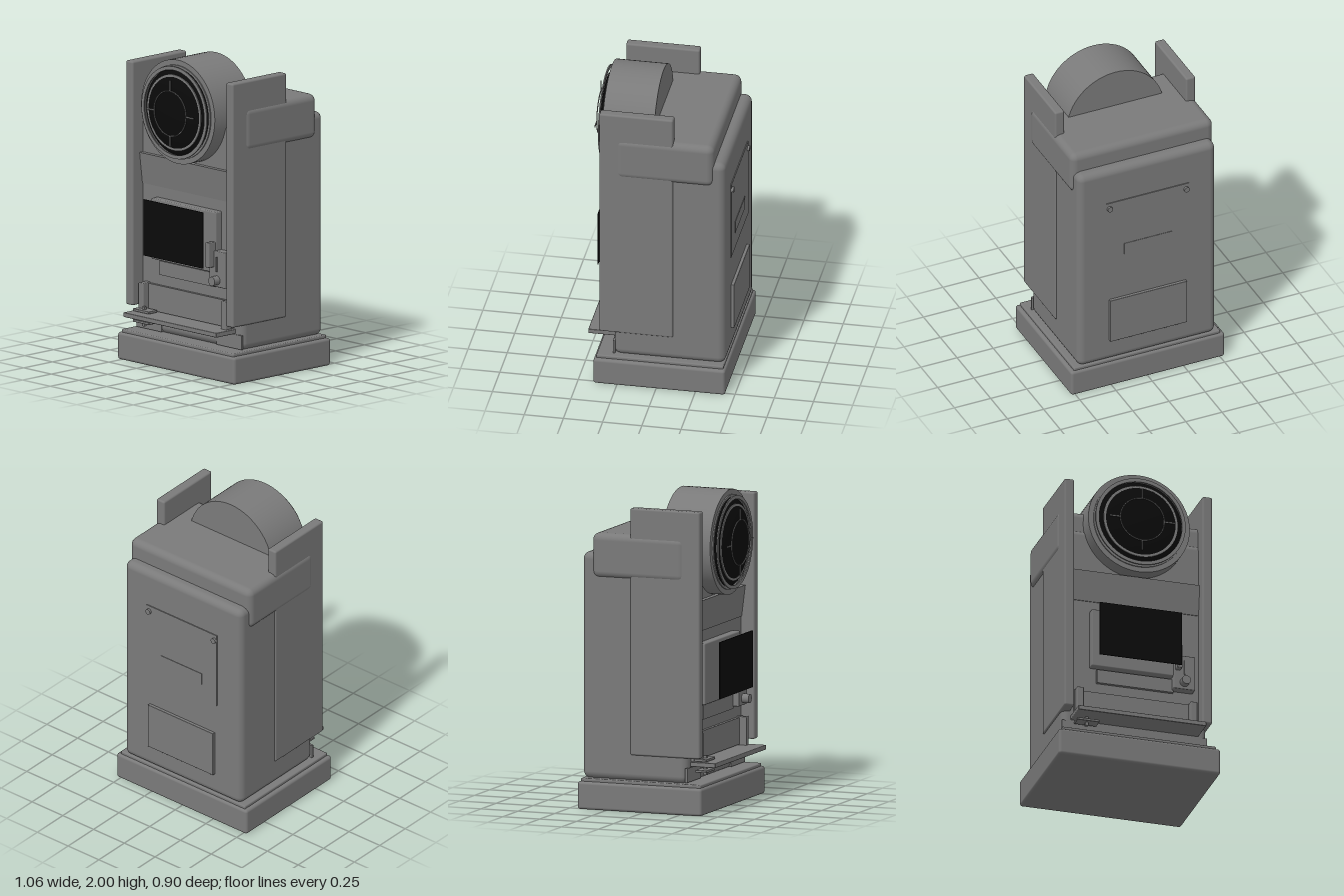
import * as THREE from 'three';
import { RoundedBoxGeometry } from 'three/addons/geometries/RoundedBoxGeometry.js';

export function createModel() {
  const group = new THREE.Group();
  const casing = new THREE.MeshStandardMaterial({ color: 0x7a7a7a, side: THREE.DoubleSide });
  casing.name = 'casing grey';
  const black = new THREE.MeshStandardMaterial({ color: 0x0a0a0a, side: THREE.DoubleSide });
  black.name = 'glass black';

  const add = (name, geometry, material = casing) => {
    const mesh = new THREE.Mesh(geometry, material);
    mesh.name = name;
    group.add(mesh);
    return mesh;
  };
  // boxes given by their extents, with an optional rounded edge
  const box = (name, [x0, x1], [y0, y1], [z0, z1], r = 0, material = casing) => {
    const s = [x1 - x0, y1 - y0, z1 - z0];
    const g = r ? new RoundedBoxGeometry(...s, 3, r) : new THREE.BoxGeometry(...s);
    g.translate((x0 + x1) / 2, (y0 + y1) / 2, (z0 + z1) / 2);
    return add(name, g, material);
  };
  // cylinders and domes whose axis runs along z
  const disc = (name, x, y, r, z0, z1, material = casing, sides = 24) => {
    const g = new THREE.CylinderGeometry(r, r, z1 - z0, sides);
    g.rotateX(Math.PI / 2).translate(x, y, (z0 + z1) / 2);
    return add(name, g, material);
  };
  const ring = (name, y, inner, outer, z, depth) => {
    const s = new THREE.Shape().absarc(0, 0, outer, 0, Math.PI * 2);
    s.holes.push(new THREE.Path().absarc(0, 0, inner, 0, Math.PI * 2, true));
    const g = new THREE.ExtrudeGeometry(s, { depth, bevelEnabled: false, curveSegments: 48 });
    return add(name, g.translate(0, y, z));
  };

  // plinth and cabinet
  box('base', [-0.53, 0.53], [0, 0.175], [-0.44, 0.4], 0.018);
  box('baseLip', [-0.505, 0.505], [0.17, 0.195], [-0.425, 0.385], 0.008);
  box('body', [-0.475, 0.475], [0.19, 1.625], [-0.43, 0.28], 0.045);
  box('topBlock', [-0.492, 0.492], [1.465, 1.75], [-0.36, 0.27], 0.045);
  for (const s of [-1, 1])
    box('sidePanel', s > 0 ? [0.42, 0.485] : [-0.485, -0.42], [0.355, 1.92], [-0.1, 0.37], 0.012);

  // sloping strip across the front
  const slope = new THREE.Shape([[0.25, 1.13], [0.285, 1.13], [0.31, 1.33], [0.25, 1.33]]
    .map(([z, y]) => new THREE.Vector2(-z, y)));
  add('frontStrip', new THREE.ExtrudeGeometry(slope, { depth: 0.84, bevelEnabled: false })
    .rotateY(Math.PI / 2).translate(-0.42, 0, 0));

  // round lamp drum with domed lens
  const cy = 1.667;
  disc('lensDrum', 0, cy, 0.333, 0.05, 0.38, casing, 64);
  ring('lensRim', cy, 0.285, 0.3, 0.38, 0.008);
  ring('lensBezel', cy, 0.272, 0.295, 0.406, 0.008);
  const dome = new THREE.SphereGeometry(1, 48, 12, 0, Math.PI * 2, 0, Math.PI / 2);
  dome.rotateX(Math.PI / 2).scale(0.28, 0.28, 0.062).translate(0, cy, 0.379);
  add('lens', dome, black);
  ring('lensOuterRing', cy, 0.228, 0.243, 0.41, 0.006);
  ring('reticleRing', cy, 0.141, 0.147, 0.446, 0.006);
  for (let i = 0; i < 4; i++) {
    const g = new THREE.BoxGeometry(0.068, 0.009, 0.006).translate(0.178, 0, 0);
    add('reticleTick', g.rotateZ(i * Math.PI / 2).translate(0, cy, 0.449));
  }

  // screen with surround
  box('screenFrame', [-0.295, 0.29], [0.67, 1.06], [0.27, 0.33], 0.008);
  box('screen', [-0.27, 0.27], [0.71, 1.07], [0.416, 0.422], 0, black);
  box('screenSill', [-0.25, 0.25], [0.57, 0.66], [0.27, 0.3]);

  // control plate with slot, button and lever
  box('controlPlate', [0.24, 0.382], [0.585, 0.815], [0.27, 0.34], 0.006);
  box('controlSlot', [0.307, 0.316], [0.685, 0.78], [0.335, 0.348]);
  disc('controlButton', 0.31, 0.63, 0.029, 0.33, 0.387);
  box('lever', [0.25, 0.285], [0.71, 0.87], [0.32, 0.385], 0.006);

  // delivery tray
  box('trayBack', [-0.4, 0.4], [0.33, 0.5], [0.27, 0.3]);
  for (const s of [-1, 1]) {
    const span = (a, b) => (s > 0 ? [a, b] : [-b, -a]);
    box('trayCheek', span(0.35, 0.395), [0.32, 0.505], [0.27, 0.345], 0.006);
    box('footPlate', span(0.25, 0.475), [0.2, 0.29], [0.27, 0.284]);
  }
  box('trayShelf', [-0.42, 0.42], [0.295, 0.325], [0.28, 0.452], 0.005);
  box('trayPost', [-0.345, -0.325], [0.235, 0.36], [0.34, 0.36]);
  for (const y of [0.335, 0.265])
    box('trayPaddle', [-0.405, -0.26], [y - 0.008, y + 0.008], [0.31, 0.385], 0.004);

  // back hatch, screws, label and vent
  box('backHatch', [-0.285, 0.285], [0.86, 1.38], [-0.436, -0.42]);
  box('backLabel', [-0.165, 0.165], [0.97, 1.05], [-0.439, -0.43]);
  for (const x of [-0.265, 0.265]) disc('backScrew', x, 1.34, 0.018, -0.45, -0.43);
  box('backVent', [-0.265, 0.265], [0.34, 0.65], [-0.45, -0.42], 0.004);
  return group;
}
